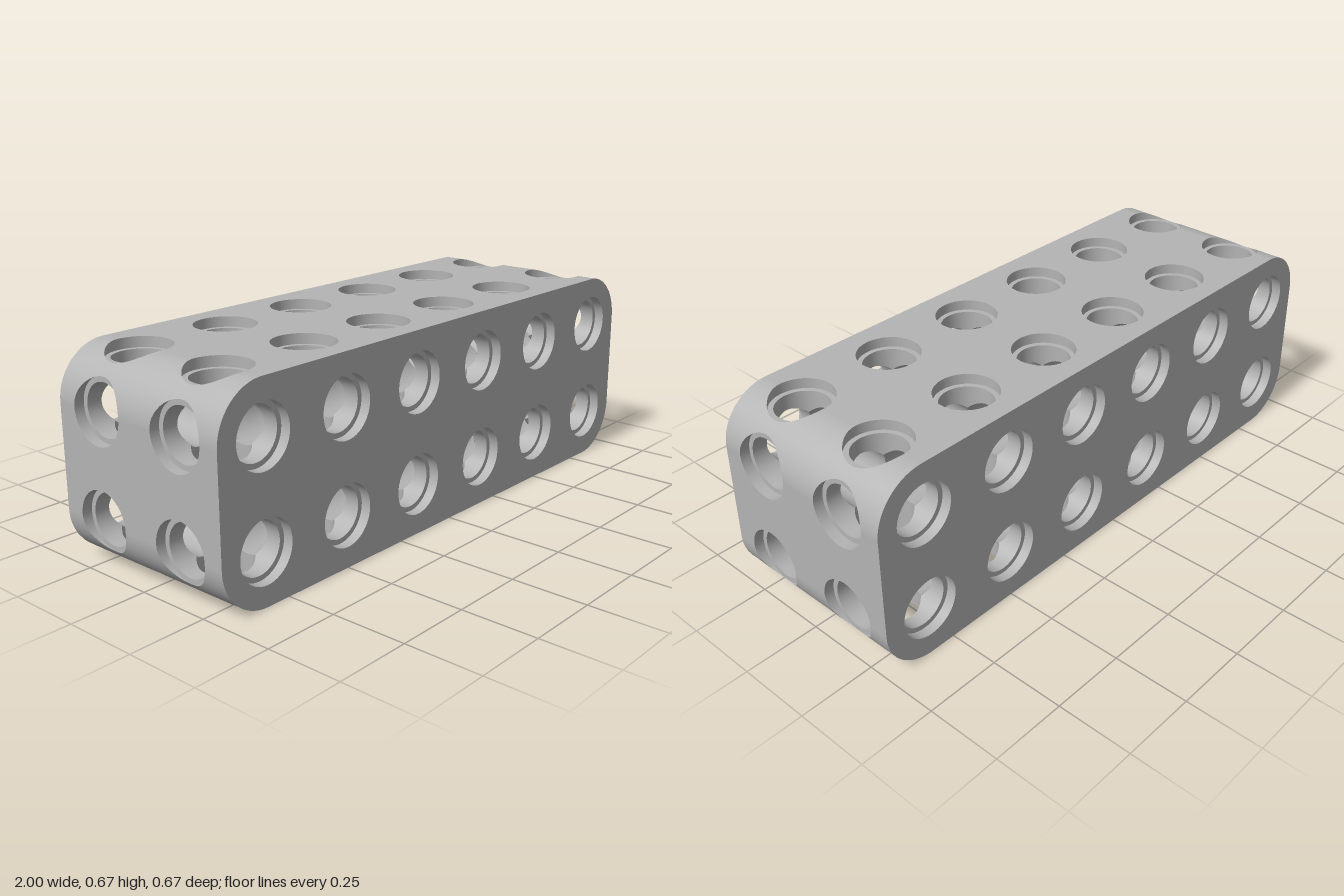
import * as THREE from 'three';
import { mergeGeometries } from 'three/addons/utils/BufferGeometryUtils.js';

const L = 1 / 3;          // cell pitch
const H = L / 2;          // half cell, also the corner radius
const BORE = 0.0835;      // through-hole radius
const RIM = 0.1;          // counterbore radius
const FLOOR = H - 0.0335; // counterbore floor, measured from the cell centre
const SEG = 48;

// Sweeps point(t, angle) around a full turn; point returns [position, normal] in the local frame.
function sweep(frame, rows, point) {
  const pos = [], nor = [], idx = [];
  for (let i = 0; i <= rows; i++) {
    for (let j = 0; j <= SEG; j++) {
      const [p, n] = point(i / rows, (j / SEG) * Math.PI * 2);
      pos.push(...p);
      nor.push(...n);
      if (i < rows && j < SEG) {
        const a = i * (SEG + 1) + j, b = a + SEG + 1;
        idx.push(a, b, b + 1, a, b + 1, a + 1);
      }
    }
  }
  const g = new THREE.BufferGeometry();
  g.setAttribute('position', new THREE.Float32BufferAttribute(pos, 3));
  g.setAttribute('normal', new THREE.Float32BufferAttribute(nor, 3));
  g.setIndex(idx);
  return g.applyMatrix4(frame);
}

// Cylindrical wall facing the hole axis, between two heights that may vary with angle
const wall = (frame, r, low, high) => sweep(frame, 1, (t, a) => {
  const c = Math.cos(a), s = Math.sin(a);
  const h = THREE.MathUtils.lerp(low(c, s), high(c, s), t);
  return [[r * c, r * s, h], [-c, -s, 0]];
});

// Flat ring at the bottom of a counterbore
const ledge = (frame) => sweep(frame, 1, (t, a) => {
  const r = THREE.MathUtils.lerp(BORE, RIM, t);
  return [[r * Math.cos(a), r * Math.sin(a), FLOOR], [0, 0, 1]];
});

// Height of the outer skin; "round" is the side (+1 / -1) that rolls over the corner, 0 if flat
const skinHeight = (u, round) => (u * round > 0 ? Math.sqrt(H * H - u * u) : H);

// Skin of one cell: from the hole's rim out to the cell border, or to the middle of the corner
const skin = (frame, round) => sweep(frame, round ? 10 : 1, (t, a) => {
  const c = Math.cos(a), s = Math.sin(a), k = H / Math.max(Math.abs(c), Math.abs(s));
  const edge = c * k * (c * round > 0 ? Math.SQRT1_2 : 1);
  const u = THREE.MathUtils.lerp(RIM * c, edge, t);
  const v = THREE.MathUtils.lerp(RIM * s, s * k, t);
  const h = skinHeight(u, round);
  return [[u, v, h], u * round > 0 ? [u / H, 0, h / H] : [0, 0, 1]];
});

// Rounded end plate with its grid of holes
function facePlate() {
  const x = 1, y = L, q = Math.PI / 2;
  const shape = new THREE.Shape();
  shape.absarc(x - H, y - H, H, 0, q);
  shape.absarc(-x + H, y - H, H, q, 2 * q);
  shape.absarc(-x + H, -y + H, H, 2 * q, 3 * q);
  shape.absarc(x - H, -y + H, H, 3 * q, 4 * q);
  shape.closePath();
  for (let i = 0; i < 6; i++) {
    for (let j = 0; j < 2; j++) {
      const hole = new THREE.Path();
      hole.absarc((i - 2.5) * L, (j - 0.5) * L, RIM, 0, Math.PI * 2, true);
      shape.holes.push(hole);
    }
  }
  return new THREE.ShapeGeometry(shape, SEG / 2).translate(0, L, L);
}

export function createModel() {
  const group = new THREE.Group();
  const grey = new THREE.MeshStandardMaterial({ color: 0xb4b4b4 });
  grey.name = 'grey';

  const parts = { outerSkin: [], counterboreWalls: [], counterboreLedges: [], boreWalls: [] };
  const count = [6, 2, 2];

  for (let i = 0; i < 6; i++) for (let j = 0; j < 2; j++) for (let k = 0; k < 2; k++) {
    const cell = [i, j, k];
    const centre = new THREE.Vector3((i - 2.5) * L, (j + 0.5) * L, (k - 0.5) * L);

    // Three bores cross in every cell: six arms, one towards each face
    for (let axis = 0; axis < 3; axis++) for (const side of [-1, 1]) {
      const n = new THREE.Vector3().setComponent(axis, side);
      const v = axis === 2 ? new THREE.Vector3(0, 1, 0) : new THREE.Vector3(0, 0, 1);
      const u = v.clone().cross(n);
      const frame = new THREE.Matrix4().makeBasis(u, v, n).setPosition(centre);
      const exposed = cell[axis] === (side > 0 ? count[axis] - 1 : 0);

      // The bore starts where it meets the two crossing bores
      parts.boreWalls.push(wall(frame, BORE,
        (c, s) => BORE * Math.max(Math.abs(c), Math.abs(s)),
        () => (exposed ? FLOOR : H)));
      if (!exposed) continue;

      // Which way this face rolls over into a rounded corner
      let round = 0;
      if (axis === 0) round = Math.sign(u.y * (j - 0.5));
      if (axis === 1 && (i === 0 || i === 5)) round = Math.sign(u.x * (i - 2.5));

      parts.counterboreLedges.push(ledge(frame));
      parts.counterboreWalls.push(wall(frame, RIM,
        () => FLOOR, (c) => skinHeight(RIM * c, round)));
      if (axis !== 2) parts.outerSkin.push(skin(frame, round));
    }
  }

  for (const [name, list] of Object.entries(parts)) {
    const mesh = new THREE.Mesh(mergeGeometries(list), grey);
    mesh.name = name;
    group.add(mesh);
  }

  // Front and back plates
  const front = new THREE.Mesh(facePlate(), grey);
  front.name = 'frontFace';
  const back = new THREE.Mesh(front.geometry, grey);
  back.name = 'backFace';
  back.rotation.y = Math.PI;
  group.add(front, back);
  return group;
}
